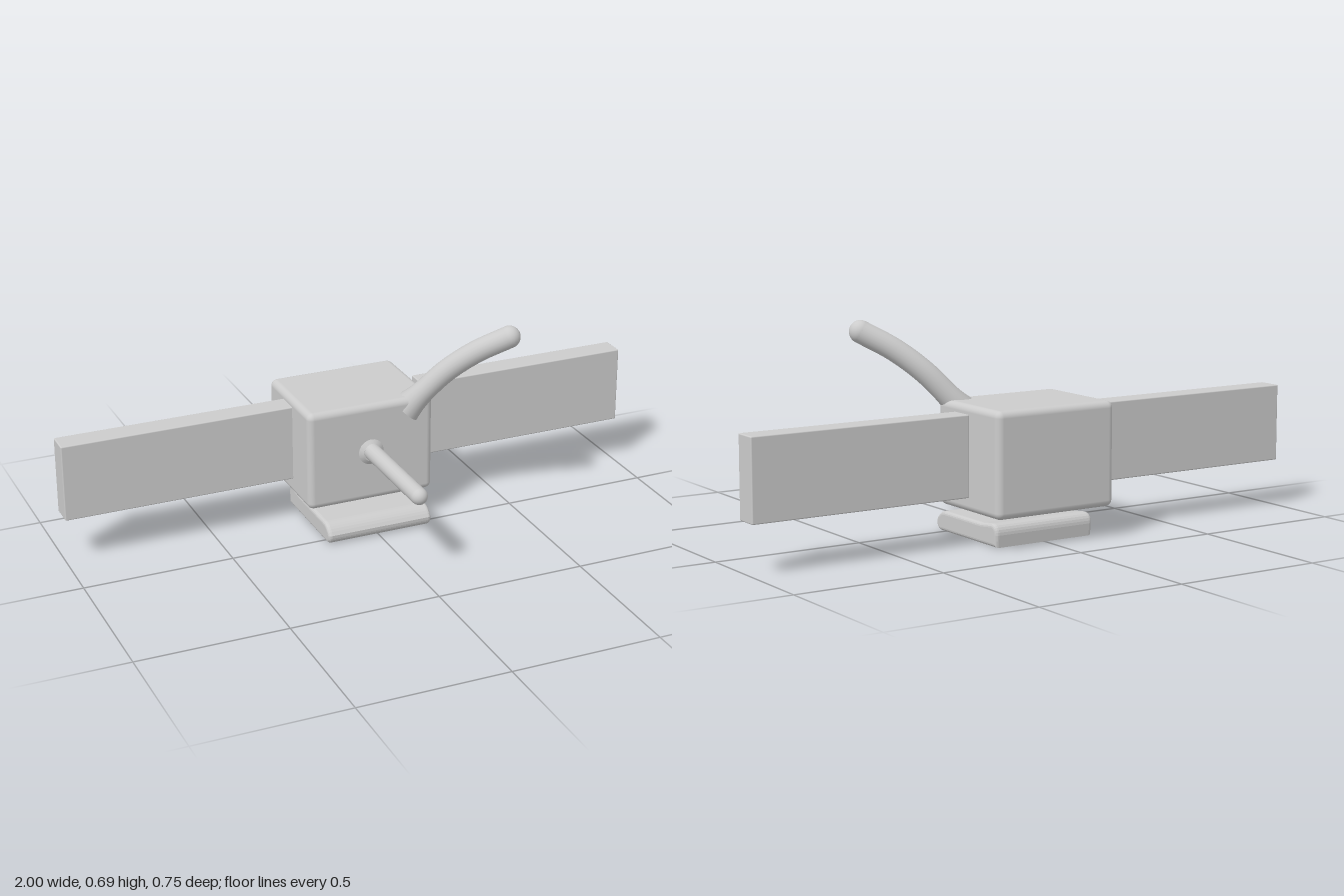
import * as THREE from 'three';
import { RoundedBoxGeometry } from 'three/addons/geometries/RoundedBoxGeometry.js';

const material = new THREE.MeshStandardMaterial({ color: 0xcccccc });

function add(parent, name, geometry, x = 0, y = 0, z = 0) {
  const mesh = new THREE.Mesh(geometry, material);
  mesh.name = name;
  mesh.position.set(x, y, z);
  parent.add(mesh);
  return mesh;
}

// Rounded box given by its lower and upper corners
function addBlock(parent, name, [x0, y0, z0], [x1, y1, z1], radius) {
  const geometry = new RoundedBoxGeometry(x1 - x0, y1 - y0, z1 - z0, 4, radius);
  return add(parent, name, geometry, (x0 + x1) / 2, (y0 + y1) / 2, (z0 + z1) / 2);
}

// Bent tube that widens smoothly into the body at its root
function flaredTube(curve, radius, flare) {
  const rings = 32, sides = 20;
  const geometry = new THREE.TubeGeometry(curve, rings, radius, sides, false);
  const pos = geometry.attributes.position;
  const v = new THREE.Vector3();
  for (let i = 0; i <= rings; i++) {
    const centre = curve.getPointAt(i / rings);
    const scale = 1 + flare * Math.max(0, 1 - i / rings / 0.25) ** 2;
    for (let j = 0; j <= sides; j++) {
      const k = i * (sides + 1) + j;
      v.fromBufferAttribute(pos, k).sub(centre).multiplyScalar(scale).add(centre);
      pos.setXYZ(k, v.x, v.y, v.z);
    }
  }
  return geometry;
}

export function createModel() {
  const model = new THREE.Group();
  model.name = 'satellite';

  // Central body
  addBlock(model, 'body', [-0.22, 0.1, -0.373], [0.222, 0.44, -0.027], 0.022);

  // Side panels: the right one meets the body, the left one stops just short
  addBlock(model, 'rightPanel', [-1, 0.157, -0.25], [-0.2, 0.415, -0.169], 0.004);
  addBlock(model, 'leftPanel', [0.247, 0.157, -0.25], [1, 0.419, -0.169], 0.004);

  // Base plate: side profile (depth, height) with a sloped nose, extruded across
  const bevel = 0.012;
  const profile = new THREE.Shape();
  profile.moveTo(-0.295, 0.012);
  profile.lineTo(0.02, 0.012);
  profile.quadraticCurveTo(0.033, 0.014, 0.033, 0.03);
  profile.quadraticCurveTo(0.02, 0.053, -0.005, 0.055);
  profile.lineTo(-0.22, 0.055);
  profile.lineTo(-0.28, 0.062);
  profile.quadraticCurveTo(-0.298, 0.062, -0.298, 0.04);
  profile.closePath();
  const width = 0.368;
  const plate = new THREE.ExtrudeGeometry(profile, {
    depth: width - 2 * bevel, bevelSize: bevel, bevelThickness: bevel,
    bevelSegments: 4, curveSegments: 6,
  });
  plate.translate(0, 0, -width / 2 + bevel);
  plate.rotateY(-Math.PI / 2);
  add(model, 'basePlate', plate, 0.003);

  // Front rod with rounded tip and a small collar at its root
  const rod = new THREE.CapsuleGeometry(0.028, 0.39, 8, 20);
  rod.rotateX(Math.PI / 2);
  add(model, 'frontRod', rod, 0, 0.279, 0.15);
  const collar = new THREE.CylinderGeometry(0.03, 0.05, 0.014, 20);
  collar.rotateX(Math.PI / 2);
  add(model, 'rodCollar', collar, 0, 0.275, -0.024);

  // Bent arm rising from the front upper left corner
  const path = new THREE.CatmullRomCurve3([
    [0.145, 0.39, -0.07], [0.195, 0.45, -0.045], [0.26, 0.525, -0.01],
    [0.34, 0.596, 0.04], [0.432, 0.655, 0.097],
  ].map((p) => new THREE.Vector3(...p)));
  const arm = new THREE.Group();
  arm.name = 'arm';
  model.add(arm);
  add(arm, 'armTube', flaredTube(path, 0.037, 0.5));
  add(arm, 'armTip', new THREE.SphereGeometry(0.037, 20, 14), 0.432, 0.655, 0.097);

  return model;
}
